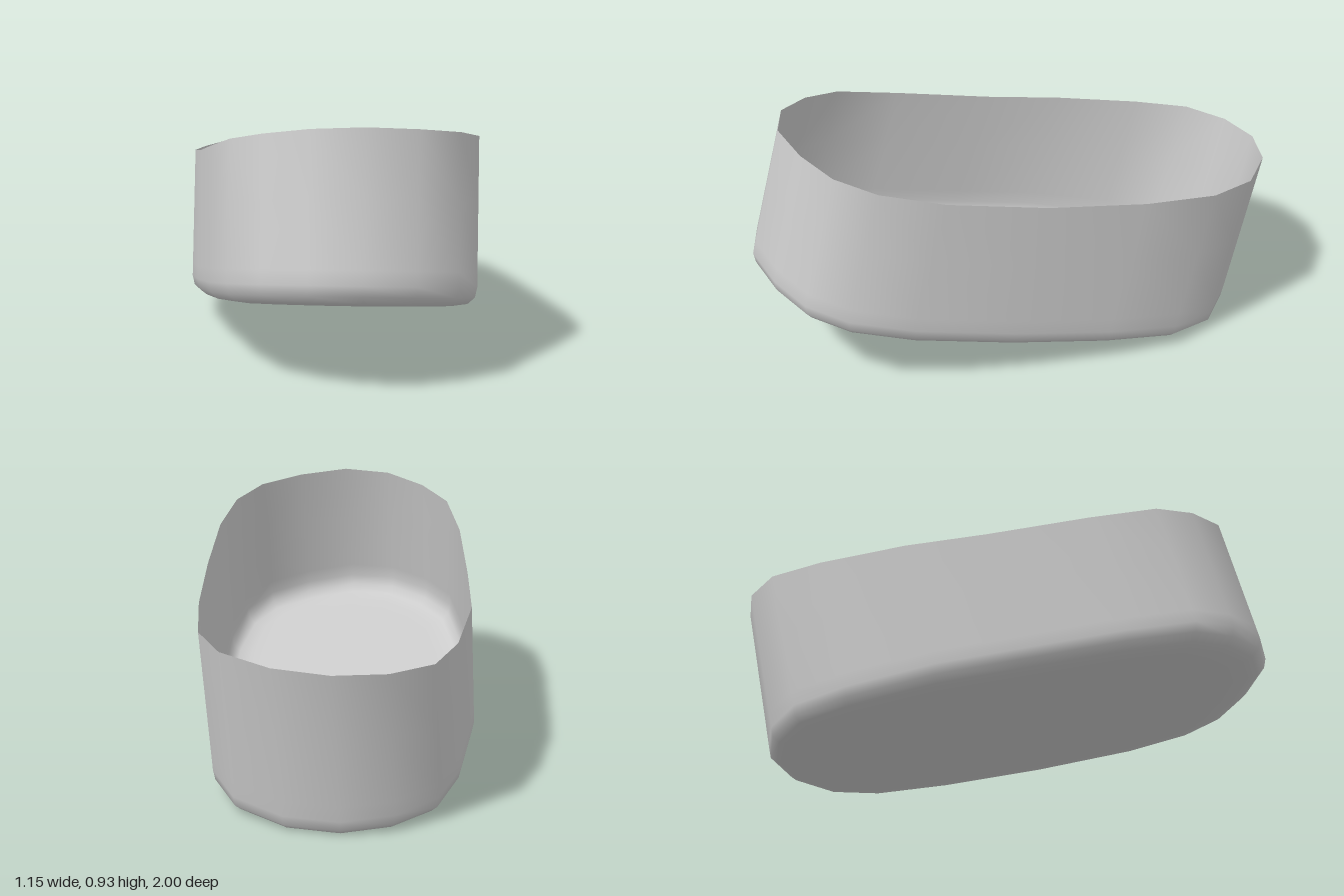
import * as THREE from 'three';

// Rim outline as [x, z], clockwise seen from above
const OUTLINE = [
  [-0.23, -1], [-0.02, -1], [0.19, -0.91], [0.32, -0.75], [0.41, -0.48],
  [0.5, -0.11], [0.57, 0.26], [0.575, 0.5], [0.51, 0.66], [0.37, 0.78],
  [0.19, 0.87], [0, 0.87], [-0.17, 0.79], [-0.3, 0.67], [-0.4, 0.43],
  [-0.5, 0.06], [-0.57, -0.24], [-0.58, -0.57], [-0.54, -0.78], [-0.41, -0.92],
];
const N = OUTLINE.length;

// Gently curved, sloping heights of the rim and the floor
const rimY = (x, z) => 0.739 + 0.04 * x + 0.154 * z + 0.07 * z * z;
const floorY = (z) => 0.135 + 0.185 * z + 0.025 * z * z;

// Foot of the wall: the outline sheared forward, moved inward and lifted off the floor
function footRing(inset, lift) {
  return OUTLINE.map(([x, z], i) => {
    const p = OUTLINE[(i + N - 1) % N], n = OUTLINE[(i + 1) % N];
    const tx = n[0] - p[0], tz = n[1] - p[1], len = Math.hypot(tx, tz);
    const fz = z * 1.005 + 0.125 + (tx / len) * inset;
    return new THREE.Vector3(x - (tz / len) * inset, floorY(fz) + lift, fz);
  });
}

function createTubGeometry() {
  const rim = OUTLINE.map(([x, z]) => new THREE.Vector3(x, rimY(x, z), z));
  const foot = footRing(0, 0.07);
  const wall = [0, 0.45, 0.9].map((t) => rim.map((p, i) => p.clone().lerp(foot[i], t)));

  // Rounded bottom edge
  const edge = [[0.008, 0.032], [0.034, 0.008], [0.085, 0]].map(([d, h]) => footRing(d, h));

  // Floor rings shrinking to its centre
  const last = edge[edge.length - 1];
  const floor = [0.9, 0.6, 0.3].map((s) => last.map((p) => {
    const z = 0.06 + (p.z - 0.06) * s;
    return new THREE.Vector3(p.x * s, floorY(z), z);
  }));

  const rings = [...wall, foot, ...edge, ...floor];
  const points = [...rings.flat(), new THREE.Vector3(0, floorY(0.06), 0.06)];
  const index = [];
  for (let k = 0; k < rings.length; k++) {
    for (let i = 0; i < N; i++) {
      const a = k * N + i, b = k * N + (i + 1) % N;
      if (k === rings.length - 1) index.push(a, b, points.length - 1);
      else index.push(a, b, a + N, b, b + N, a + N);
    }
  }
  const geometry = new THREE.BufferGeometry().setFromPoints(points);
  geometry.setIndex(index);
  geometry.computeVertexNormals();
  return geometry;
}

export function createModel() {
  const group = new THREE.Group();
  group.name = 'openTub';
  const material = new THREE.MeshStandardMaterial({ color: 0xcccccc, side: THREE.DoubleSide });
  const shell = new THREE.Mesh(createTubGeometry(), material);
  shell.name = 'tubShell';
  group.add(shell);
  return group;
}
